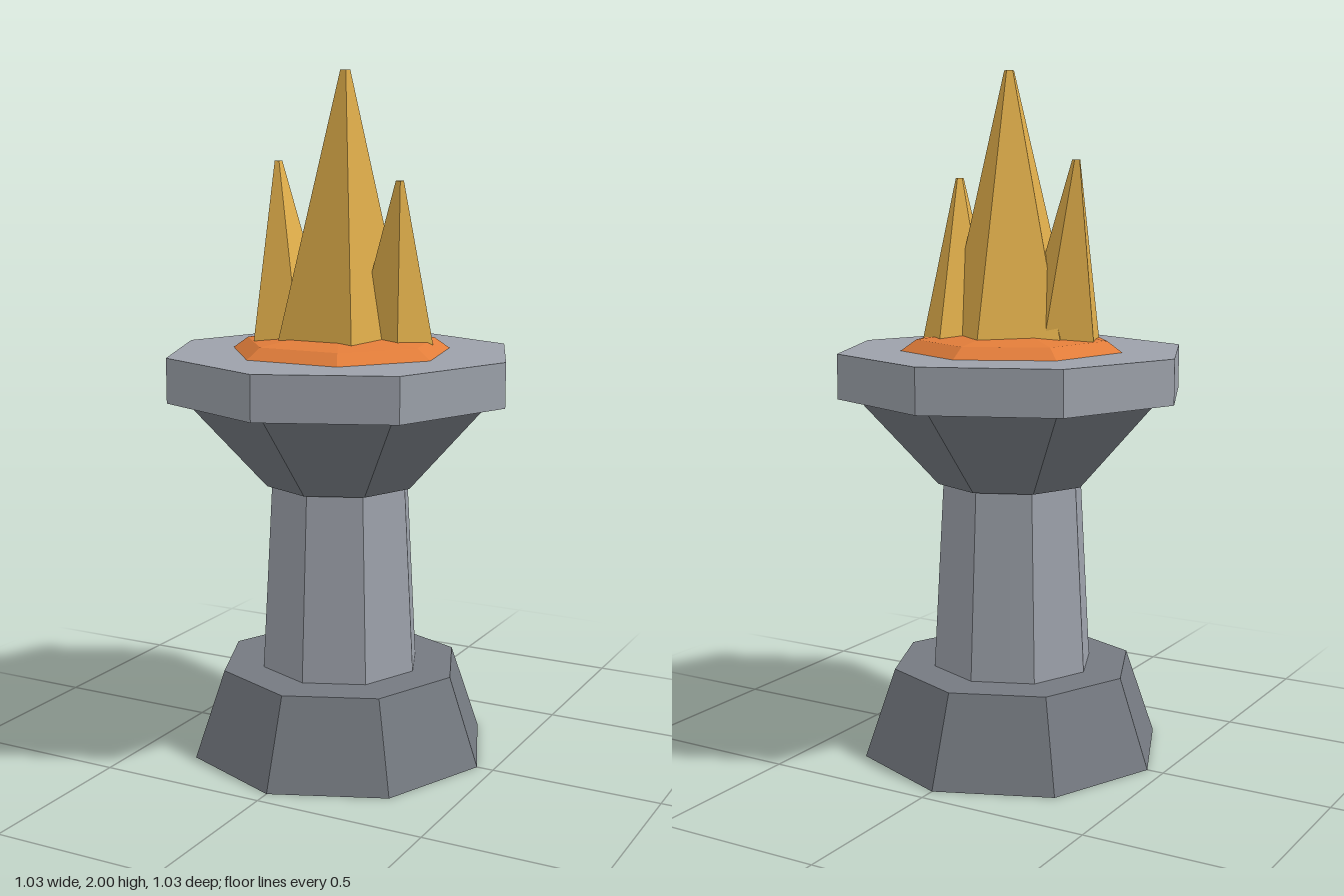
import * as THREE from 'three';

const material = (name, color) => {
  const m = new THREE.MeshStandardMaterial({ color, flatShading: true });
  m.name = name;
  return m;
};

export function createModel() {
  const model = new THREE.Group();
  model.name = 'brazier';
  const lightStone = material('lightStone', 0x9ca1aa);
  const darkStone = material('darkStone', 0x757a81);
  const ember = material('emberOrange', 0xe27d3a);
  const flame = material('flameGold', 0xe0ae4b);

  const add = (name, geometry, mat) => {
    const mesh = new THREE.Mesh(geometry, mat);
    mesh.name = name;
    model.add(mesh);
  };

  // Octagonal stone tiers: name, bottom radius, top radius, bottom y, top y
  const tiers = [
    ['base', 0.45, 0.36, 0, 0.26, darkStone],
    ['column', 0.24, 0.21, 0.26, 0.81, lightStone],
    ['bowl', 0.225, 0.46, 0.81, 1.07, darkStone],
    ['rim', 0.517, 0.517, 1.07, 1.2, lightStone],
  ];
  for (const [name, r0, r1, y0, y1, mat] of tiers) {
    const g = new THREE.CylinderGeometry(r1, r0, y1 - y0, 8);
    g.translate(0, (y0 + y1) / 2, 0);
    add(name, g, mat);
  }

  // Low seven-sided ember mound, one corner pointing back
  const mound = [[0.328, 1.2], [0.283, 1.232], [0.16, 1.248], [0, 1.252]];
  add('emberMound', new THREE.LatheGeometry(
    mound.map(([r, y]) => new THREE.Vector2(r, y)), 7, Math.PI), ember);

  // Five-sided spike whose tip is shifted sideways from its base
  const spike = (name, radius, base, tip, tipRadius, cornerAngle) => {
    const y0 = 1.22, height = tip[1] - y0;
    const g = new THREE.CylinderGeometry(tipRadius, radius, height, 5);
    g.rotateY(THREE.MathUtils.degToRad(cornerAngle));
    g.translate(0, height / 2, 0);
    const p = g.attributes.position;
    for (let i = 0; i < p.count; i++) {
      const t = p.getY(i) / height;
      p.setXYZ(i,
        p.getX(i) + THREE.MathUtils.lerp(base[0], tip[0], t),
        p.getY(i) + y0,
        p.getZ(i) + THREE.MathUtils.lerp(base[1], tip[2], t));
    }
    g.computeVertexNormals();
    add(name, g, flame);
  };
  spike('mainFlame', 0.205, [0, 0], [0.03, 2.0, 0.031], 0.015, 180);
  spike('rightFlame', 0.125, [-0.14, 0.043], [-0.225, 1.745, -0.035], 0.012, -105);
  spike('leftFlame', 0.124, [0.136, -0.056], [0.209, 1.695, 0.046], 0.012, 106);

  return model;
}
